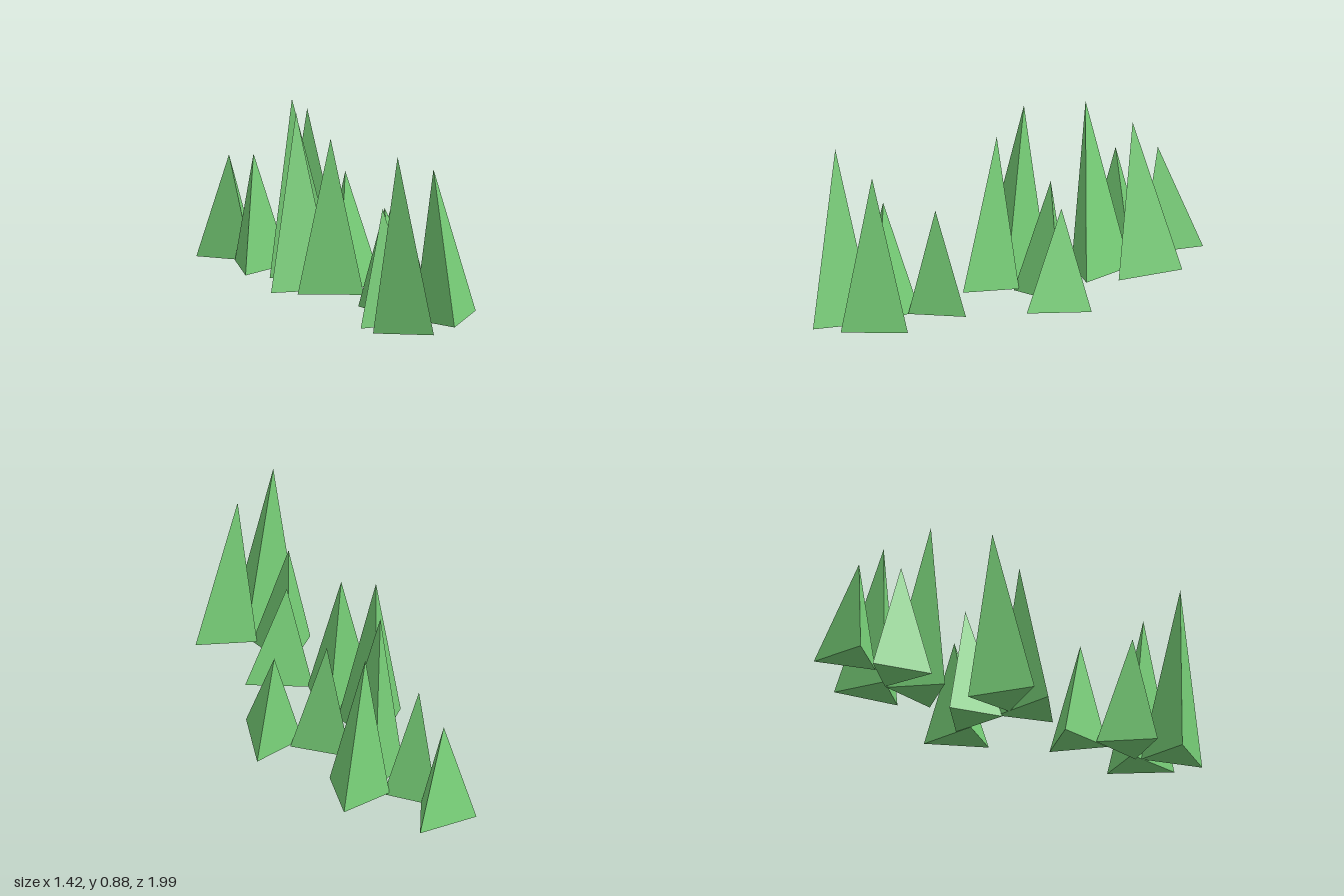
import * as THREE from 'three';

const material = new THREE.MeshStandardMaterial({ color: 0x78d078, flatShading: true });

// Each blade: three base corners (counter-clockwise from above), then the tip
const BLADES = {
  shortBlade: [[-0.135, 0.01, -0.342], [0.05, 0.013, -0.117], [0.192, 0.038, -0.382], [-0.003, 0.517, -0.254]],
  middleBlade: [[-0.1, 0, 0.111], [0.176, 0.013, 0.033], [-0.01, 0.01, -0.177], [0, 0.57, 0]],
  tallBlade: [[0.153, 0.025, 0.014], [0.36, 0.04, 0.243], [0.446, 0.055, -0.074], [0.25, 0.785, 0.08]],
  tallestBlade: [[-0.034, 0.005, 0.238], [0.267, 0.028, 0.368], [0.205, 0.028, 0.063], [0.085, 0.88, 0.241]],
};

// Closed three-sided spike with a slightly tilted base
function spike([a, b, c, tip]) {
  const faces = [a, b, tip, b, c, tip, c, a, tip, c, b, a];
  const geometry = new THREE.BufferGeometry();
  geometry.setAttribute('position', new THREE.Float32BufferAttribute(faces.flat(), 3));
  geometry.computeVertexNormals();
  return geometry;
}

// Tuft of four leaning blades
function createTuft(name, x, z, degrees) {
  const tuft = new THREE.Group();
  tuft.name = name;
  for (const [bladeName, points] of Object.entries(BLADES)) {
    const blade = new THREE.Mesh(spike(points), material);
    blade.name = bladeName;
    tuft.add(blade);
  }
  tuft.position.set(x, 0, z);
  tuft.rotation.y = THREE.MathUtils.degToRad(degrees);
  return tuft;
}

export function createModel() {
  const model = new THREE.Group();
  model.name = 'grass';
  // The same tuft, turned and placed in a row
  model.add(
    createTuft('frontTuft', 0.26, 0.622, 0),
    createTuft('middleTuft', 0.037, -0.215, -85),
    createTuft('backTuft', -0.425, -0.578, 30),
  );
  return model;
}
